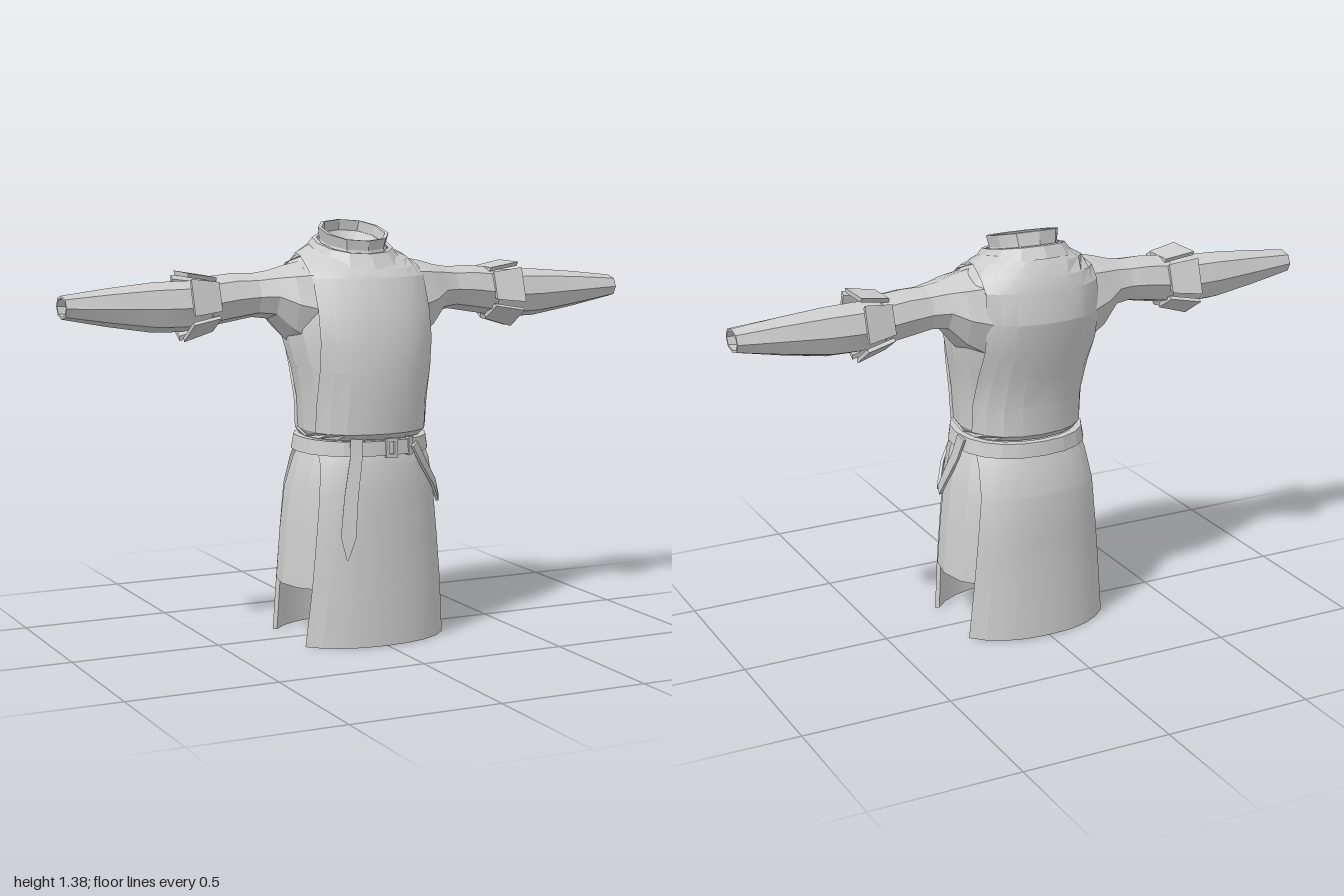
import * as THREE from 'three';
import { toCreasedNormals } from 'three/addons/utils/BufferGeometryUtils.js';

const cloth = new THREE.MeshStandardMaterial({ color: 0xcccccc, side: THREE.DoubleSide });
cloth.name = 'light grey cloth';

// Rings: [height, half width, front z, back z, centre x, tilt (back higher)]
const TORSO = [
  [0.68, 0.2, 0.215, -0.15], [0.7, 0.213, 0.235, -0.168], [0.8, 0.217, 0.241, -0.17],
  [0.9, 0.233, 0.245, -0.19], [1.0, 0.256, 0.235, -0.222], [1.1, 0.26, 0.212, -0.241],
  [1.2, 0.248, 0.17, -0.228], [1.235, 0.222, 0.148, -0.213, 0, 0.008],
  [1.265, 0.185, 0.125, -0.192, 0, 0.018], [1.287, 0.14, 0.105, -0.17, 0, 0.025],
];
const SKIRT = [
  [0, 0.292, 0.245, -0.22], [0.19, 0.288, 0.241, -0.208], [0.35, 0.275, 0.238, -0.205],
  [0.5, 0.256, 0.237, -0.204], [0.6, 0.23, 0.231, -0.176], [0.65, 0.208, 0.217, -0.157],
];
const POWER = 0.9;
const pow = (v, e) => Math.sign(v) * Math.abs(v) ** e;

// Point on a ring; angle 0 faces +z and grows toward +x
function ringPoint([y, rx, zf, zb, cx = 0, tilt = 0], a, offset = 0) {
  const c = pow(Math.cos(a), POWER);
  return new THREE.Vector3(
    cx + (rx + offset) * pow(Math.sin(a), POWER),
    y - tilt * c,
    (zf + zb) / 2 + ((zf - zb) / 2 + offset) * c
  );
}

// Skin of closed loops: n + 1 outer points, then n + 1 inner points reversed
function loft(name, rows, n, crease = 0.3) {
  const m = 2 * n + 2, pos = [], idx = [];
  rows.forEach(row => row.forEach(p => pos.push(p.x, p.y, p.z)));
  const quad = (a, b, c, d) => idx.push(a, b, c, a, c, d);
  for (let k = 0; k < rows.length - 1; k++) {
    for (let j = 0; j < m; j++) {
      const j2 = (j + 1) % m;
      quad(k * m + j, k * m + j2, (k + 1) * m + j2, (k + 1) * m + j);
    }
  }
  const top = (rows.length - 1) * m;
  for (let i = 0; i < n; i++) {
    const inner = m - 1 - i;
    quad(inner, inner - 1, i + 1, i);
    quad(top + i, top + i + 1, top + inner - 1, top + inner);
  }
  const geo = new THREE.BufferGeometry();
  geo.setAttribute('position', new THREE.Float32BufferAttribute(pos, 3));
  geo.setIndex(idx);
  const mesh = new THREE.Mesh(toCreasedNormals(geo, crease), cloth);
  mesh.name = name;
  return mesh;
}

// Thick shell over rings; span(ring) gives its start and end angle
function shell(name, rings, n, thick, span, offset = 0, crease = 0.3) {
  const rows = rings.map(ring => {
    const [a0, a1] = span(ring), outer = [], inner = [];
    for (let i = 0; i <= n; i++) {
      const a = a0 + (a1 - a0) * i / n;
      outer.push(ringPoint(ring, a, offset));
      inner.unshift(ringPoint(ring, a, offset - thick));
    }
    return [...outer, ...inner];
  });
  return loft(name, rows, n, crease);
}
const full = () => [0, Math.PI * 2];

// Panel span around a middle angle, reaching sideways to edge(y)
const panelSpan = (mid, edge) => ring => {
  const h = Math.asin(Math.min(1, edge(ring[0]) / ring[1]) ** (1 / POWER));
  return [mid - h, mid + h];
};

// Skirt surface at any angle and height
function skirtPoint(a, y, offset) {
  let k = 0;
  while (k < SKIRT.length - 2 && SKIRT[k + 1][0] < y) k++;
  const p = SKIRT[k], q = SKIRT[k + 1], t = Math.min(1, (y - p[0]) / (q[0] - p[0]));
  const point = ringPoint(p.map((v, i) => v + (q[i] - v) * t), a, offset);
  point.y = y;
  return point;
}

// Flat strap draped over the skirt; path entries are [angle, height, width, offset]
function strap(name, path) {
  const mids = path.map(([a, y, , o]) => skirtPoint(a, y, o));
  const rows = mids.map((p, i) => {
    const t = mids[Math.min(i + 1, mids.length - 1)].clone().sub(mids[Math.max(i - 1, 0)]).normalize();
    const out = new THREE.Vector3(Math.sin(path[i][0]), 0, Math.cos(path[i][0]));
    const side = t.clone().cross(out).normalize().multiplyScalar(path[i][2] / 2);
    out.multiplyScalar(0.005);
    return [[-1, 1], [1, 1], [1, -1], [-1, -1]].map(([s, o]) =>
      p.clone().addScaledVector(side, s).addScaledVector(out, o));
  });
  return loft(name, rows, 1);
}

// Sleeve, split cuff and forearm, built along y then laid sideways
function makeArm(s) {
  const arm = new THREE.Group();
  arm.name = s > 0 ? 'leftArm' : 'rightArm';
  // [distance out, bottom, top, front z, back z]
  const rings = list => list.map(([x, lo, hi, zf, zb]) => [x, (hi - lo) / 2, zf, zb, -s * (hi + lo) / 2]);
  arm.add(shell('sleeve', rings([
    [0.18, 0.95, 1.252, 0.14, -0.185], [0.25, 1.0, 1.238, 0.115, -0.163],
    [0.305, 1.065, 1.222, 0.08, -0.135], [0.36, 1.072, 1.214, 0.06, -0.122],
    [0.43, 1.06, 1.216, 0.055, -0.125], [0.52, 1.045, 1.208, 0.055, -0.125],
  ]), 8, 0.01, full, 0, 0.15));
  const cuff = rings([[0.5, 1.045, 1.205, 0.058, -0.128], [0.6, 1.015, 1.225, 0.078, -0.152]]);
  for (let i = 0; i < 5; i++) {
    const mid = -s * Math.PI / 2 + i * Math.PI * 0.4;
    arm.add(shell('cuffFlap', cuff, 1, 0.016, () => [mid - 0.5, mid + 0.5], 0.014, 0.15));
  }
  arm.add(shell('forearm', rings([
    [0.49, 1.05, 1.195, 0.042, -0.115], [0.6, 1.033, 1.197, 0.045, -0.12],
    [0.7, 1.035, 1.195, 0.036, -0.114], [0.85, 1.06, 1.182, 0.028, -0.1],
    [1.0, 1.09, 1.165, 0.022, -0.085],
  ]), 8, 0.008, full, 0, 0.15));
  arm.rotation.z = -s * Math.PI / 2;
  return arm;
}

export function createModel() {
  const model = new THREE.Group();
  model.name = 'tunic';

  // Under layers
  model.add(shell('underTunic', TORSO, 16, 0.006, full, -0.009));
  model.add(shell('underSkirt', SKIRT.slice(1), 16, 0.008, full, -0.01));

  // Front and back surcoat panels
  const skirtEdge = y => 0.25 - 0.09 * y;
  for (const [side, mid] of [['front', 0], ['back', Math.PI]]) {
    model.add(shell(side + 'ChestPanel', TORSO, 8, 0.016, panelSpan(mid, () => 0.2)));
    model.add(shell(side + 'SkirtPanel', SKIRT, 8, 0.014, panelSpan(mid, skirtEdge), 0.002));
  }

  // Yoke, standing collar and its hollow lining
  model.add(shell('yoke', [
    [1.262, 0.152, 0.148, -0.188, 0, 0.036], [1.305, 0.122, 0.114, -0.164, 0, 0.03],
  ], 12, 0.014, full, 0.004));
  model.add(shell('collar', [
    [1.27, 0.12, 0.106, -0.155, 0, 0.025], [1.308, 0.106, 0.096, -0.145, 0, 0.025],
    [1.346, 0.114, 0.102, -0.136, 0, 0.03],
  ], 10, 0.012, full));
  model.add(shell('collarLining', [
    [1.22, 0.004, -0.014, -0.022], [1.255, 0.065, 0.048, -0.09, 0, 0.015], [1.315, 0.098, 0.087, -0.132, 0, 0.026],
  ], 10, 0.004, full, 0, 0.6));

  // Belt with buckle and keepers
  model.add(shell('belt', [
    [0.63, 0.22, 0.232, -0.176], [0.678, 0.212, 0.23, -0.17],
  ], 20, 0.024, full, 0.006));
  const frame = new THREE.Shape().moveTo(-0.02, -0.032).lineTo(0.02, -0.032).lineTo(0.02, 0.032).lineTo(-0.02, 0.032).closePath();
  frame.holes.push(new THREE.Path().moveTo(-0.01, -0.02).lineTo(-0.01, 0.02).lineTo(0.01, 0.02).lineTo(0.01, -0.02).closePath());
  const buckle = new THREE.Mesh(new THREE.ExtrudeGeometry(frame, { depth: 0.012, bevelEnabled: false }), cloth);
  buckle.name = 'buckle';
  buckle.position.set(0.015, 0.655, 0.232);
  model.add(buckle);
  for (const x of [-0.1, 0.09]) {
    const keeper = new THREE.Mesh(new THREE.BoxGeometry(0.02, 0.06, 0.014), cloth);
    keeper.name = 'beltKeeper';
    keeper.position.set(x, 0.655, 0.218);
    keeper.rotation.y = x * 4;
    model.add(keeper);
  }

  // Hanging belt tail and side straps
  model.add(strap('beltTail', [
    [-0.42, 0.69, 0.04, 0.028], [-0.42, 0.62, 0.04, 0.02], [-0.44, 0.5, 0.045, 0.012],
    [-0.45, 0.37, 0.05, 0.012], [-0.45, 0.295, 0.006, 0.01],
  ]));
  model.add(strap('frontSideStrap', [
    [0.42, 0.66, 0.028, 0.026], [0.6, 0.59, 0.028, 0.013], [0.85, 0.52, 0.028, 0.01], [1.14, 0.455, 0.028, 0.006],
  ]));
  model.add(strap('rearSideStrap', [
    [1.8, 0.68, 0.035, 0.024], [1.68, 0.61, 0.035, 0.012], [1.5, 0.53, 0.035, 0.004], [1.3, 0.46, 0.035, 0.004],
  ]));

  model.add(makeArm(1), makeArm(-1));
  return model;
}
